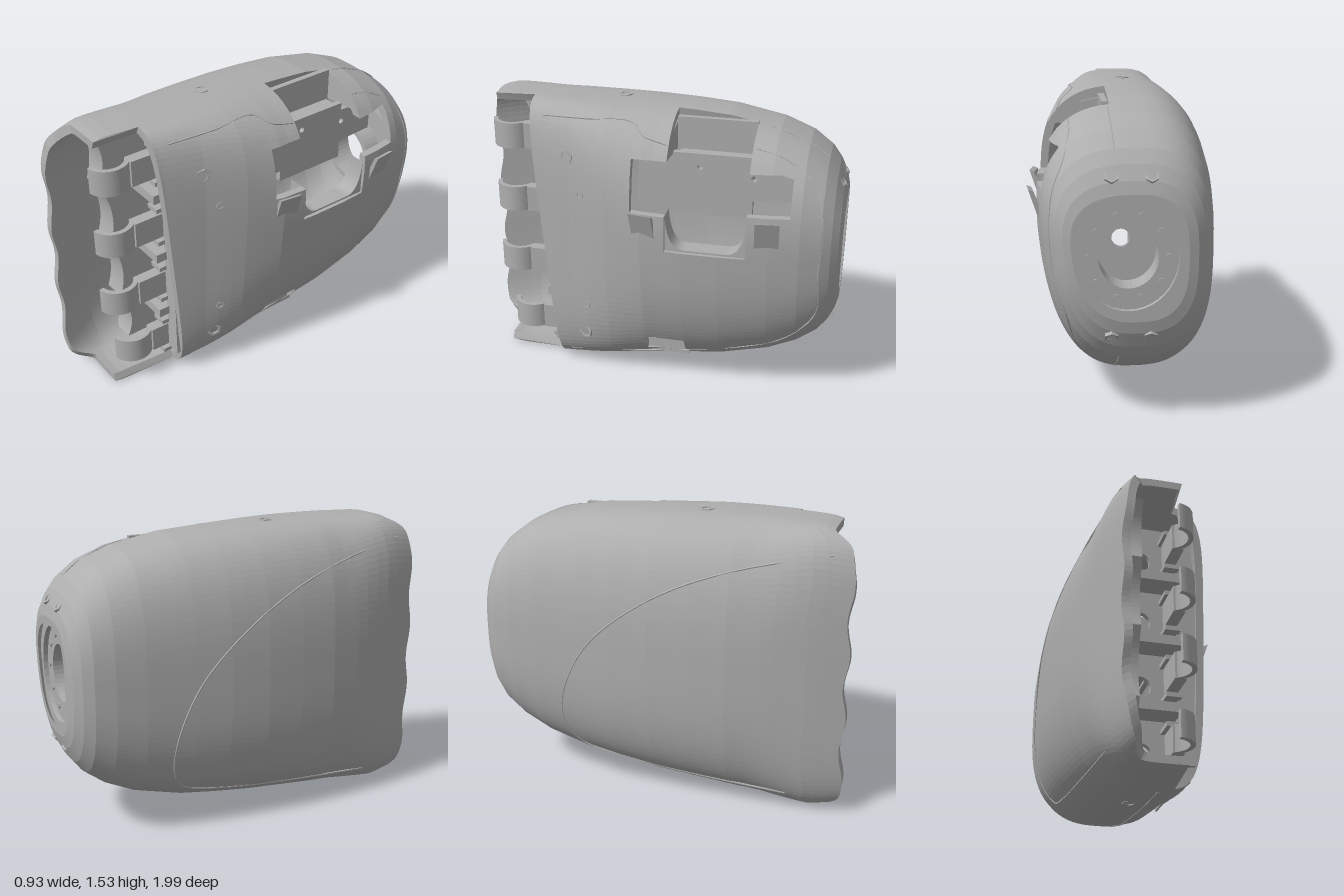
import * as THREE from 'three';

const grey = new THREE.MeshStandardMaterial({ color: 0xaeaeae, flatShading: true, side: THREE.DoubleSide });
grey.name = 'grey plastic';

// cross-sections of the palm: z, left edge x, right edge x, bottom y, top y
const CX = -0.03;
const SECTIONS = [
  [-1, -0.27, 0.27, 0.53, 1.12], [-0.985, -0.315, 0.305, 0.47, 1.18], [-0.95, -0.355, 0.34, 0.395, 1.25],
  [-0.9, -0.385, 0.37, 0.33, 1.315], [-0.8, -0.41, 0.4, 0.255, 1.39], [-0.65, -0.43, 0.42, 0.185, 1.45],
  [-0.4, -0.45, 0.435, 0.12, 1.5], [-0.2, -0.463, 0.435, 0.093, 1.516], [0, -0.463, 0.42, 0.07, 1.526],
  [0.2, -0.45, 0.365, 0.052, 1.532], [0.4, -0.43, 0.29, 0.033, 1.536], [0.6, -0.39, 0.235, 0.015, 1.538],
  [0.8, -0.335, 0.2, 0.005, 1.535], [1, -0.265, 0.18, 0.04, 1.49],
];
function section(z) {
  let k = 0;
  while (k < SECTIONS.length - 2 && z > SECTIONS[k + 1][0]) k++;
  const a = SECTIONS[k], b = SECTIONS[k + 1];
  const t = THREE.MathUtils.clamp((z - a[0]) / (b[0] - a[0]), 0, 1);
  return a.map((v, i) => v + (b[i] - v) * t);
}

// point on the palm surface, by angle or by a fixed height on one side
function surface(z, phi, inset = 0, atY = null) {
  const [, l, r, yb, yt] = section(z);
  const cy = (yb + yt) / 2, h = (yt - yb) / 2 - inset;
  const c = Math.cos(phi), s = Math.sin(phi), right = c > 0;
  const front = THREE.MathUtils.smoothstep(z, -0.1, 0.6);
  const n = right ? 2.6 + 2.2 * front : 2.8 + 1.6 * THREE.MathUtils.smoothstep(z, 0.5, 0.95);
  const k = Math.pow(Math.abs(c) ** n + Math.abs(s) ** n, -1 / n);
  let u = s * k, v = Math.abs(c) * k;
  if (atY !== null) {
    u = THREE.MathUtils.clamp((atY - cy) / h, -1, 1);
    v = Math.pow(1 - Math.abs(u) ** n, 1 / n);
  }
  // the thumb side is fuller towards the top
  const bulge = 0.955 + 0.03 * front + (0.15 - 0.08 * front) * u;
  const w = right ? (r - CX - inset) * bulge : l - CX + inset;
  return new THREE.Vector3(CX + w * v, cy + h * u, z);
}
const onSide = (y, z, side = 1) => surface(z, side > 0 ? 0 : Math.PI, 0, y);

// front edge: long scalloped back of the hand, shorter slanted palm panel
function frontEdge(phi) {
  const p = surface(0.75, phi);
  if (p.x > 0.07) return 0.51 + 0.08 * p.y;
  const t = THREE.MathUtils.smoothstep(-p.x, 0.17, 0.28);
  return 0.86 + t * (0.117 + 0.012 * Math.cos((p.y - 0.93) * Math.PI * 2 / 0.365));
}

// openings in the palm side: z range and y range
const CUTS = [[-0.54, -0.13, 0.87, 2], [-0.13, 0.05, 1.06, 1.33], [-0.75, -0.54, 1.1, 1.3], [-0.21, 0, 0.18, 0.28]];

function shellGeometry() {
  const N = 150, zs = [-1, -0.985, -0.97, -0.95, -0.925, -0.9, -0.85, -0.8, -0.75, -0.7, -0.65, -0.6, -0.54,
    -0.47, -0.4, -0.33, -0.27, -0.21, -0.13, -0.06, 0, 0.05, 0.12, 0.2, 0.27, 0.33, 0.4, 0.45, 0.5,
    0.57, 0.64, 0.72, 0.8, 0.87, 0.94, 1];
  const angle = i => (i / N) * Math.PI * 2;
  // grid lines moved onto the horizontal edges of the openings
  const snaps = [];
  for (const [z1, z2, y1, y2] of CUTS) for (const y of [y1, y2]) {
    let best = 0;
    const miss = i => Math.abs(surface((z1 + z2) / 2, angle(i)).y - y);
    for (let i = 0; i < N; i++) if (Math.cos(angle(i)) > 0 && miss(i) < miss(best)) best = i;
    if (y < 2) snaps.push({ i: best, z1, z2, y });
  }
  const grid = [0, 0.04].map(inset => zs.map(z0 => {
    const row = [];
    for (let i = 0; i < N; i++) {
      const z = z0 > 0.5 ? 0.5 + (z0 - 0.5) * 2 * (frontEdge(angle(i)) - 0.5) : z0;
      const snap = snaps.find(s => s.i === i && z >= s.z1 && z <= s.z2);
      row.push(surface(z, angle(i), inset, snap ? snap.y : null));
    }
    return row;
  }));
  const open = (i, j) => {
    if (j < 0 || j >= zs.length - 1) return true;
    const a = grid[0][j][i], b = grid[0][j + 1][(i + 1) % N];
    const x = (a.x + b.x) / 2, y = (a.y + b.y) / 2, z = (a.z + b.z) / 2;
    return x > 0.07 && CUTS.some(([z1, z2, y1, y2]) => z > z1 && z < z2 && y > y1 && y < y2);
  };
  const pos = [];
  const quad = (a, b, c, d) => [a, b, c, a, c, d].forEach(p => pos.push(p.x, p.y, p.z));
  for (let j = 0; j < zs.length - 1; j++) for (let i = 0; i < N; i++) {
    if (open(i, j)) continue;
    const e = (i + 1) % N;
    const [[a, b, c, d], [a2, b2, c2, d2]] = grid.map(g => [g[j][i], g[j][e], g[j + 1][e], g[j + 1][i]]);
    quad(a, b, c, d);
    quad(a2, d2, c2, b2);
    // rims where the wall is cut
    if (open(i, j - 1)) quad(a, a2, b2, b);
    if (open(i, j + 1)) quad(c, c2, d2, d);
    if (open((i + N - 1) % N, j)) quad(d, d2, a2, a);
    if (open(e, j)) quad(b, b2, c2, c);
  }
  const g = new THREE.BufferGeometry();
  g.setAttribute('position', new THREE.Float32BufferAttribute(pos, 3));
  g.computeVertexNormals();
  return g;
}

export function createModel() {
  const root = new THREE.Group();
  const add = (name, geo, x = 0, y = 0, z = 0) => {
    const m = new THREE.Mesh(geo, grey);
    m.name = name;
    m.position.set(x, y, z);
    root.add(m);
    return m;
  };
  const box = (name, x1, x2, y1, y2, z1, z2) => add(name,
    new THREE.BoxGeometry(x2 - x1, y2 - y1, z2 - z1), (x1 + x2) / 2, (y1 + y2) / 2, (z1 + z2) / 2);
  const shape = pts => new THREE.Shape(pts.map(p => new THREE.Vector2(...p)));
  const extrude = (s, depth) => new THREE.ExtrudeGeometry(s, { depth, bevelEnabled: false, curveSegments: 14 });

  add('palmShell', shellGeometry());

  // wrist coupling: recessed ring with a bore and a circle of bolts
  const ring = new THREE.LatheGeometry([[0.3, 0.06], [0.3, 0], [0.25, 0], [0.25, 0.025], [0.15, 0.025],
    [0.15, 0.16], [0.18, 0.16], [0.18, 0.06], [0.3, 0.06]].map(p => new THREE.Vector2(...p)), 40);
  ring.rotateX(Math.PI / 2).scale(0.92, 1, 1);
  add('wristRing', ring, 0, 0.825, -0.975);
  for (let i = 0; i < 10; i++) {
    const a = (i / 10) * Math.PI * 2;
    add('wristBolt', new THREE.CylinderGeometry(0.016, 0.016, 0.012, 8).rotateX(Math.PI / 2),
      0.185 * Math.cos(a), 0.825 + 0.2 * Math.sin(a), -0.952);
  }

  // hexagonal screw sockets set in the surface
  const socket = (name, p, dir, r) => {
    const pts = [[0, -0.015], [r * 0.65, -0.015], [r * 0.65, 0.004], [r, 0.004], [r, -0.02]];
    const m = add(name, new THREE.LatheGeometry(pts.map(q => new THREE.Vector2(...q)), r > 0.03 ? 6 : 10), p.x, p.y, p.z);
    m.quaternion.setFromUnitVectors(new THREE.Vector3(0, 1, 0), new THREE.Vector3(...dir).normalize());
  };
  for (const [y, z, r] of [[1.28, 0.41, 0.04], [1.095, 0.335, 0.022], [0.44, 0.325, 0.022], [0.255, 0.345, 0.04]])
    socket('palmScrew', onSide(y, z), [1, 0, 0.35], r);
  for (const s of [1, -1]) {
    socket('edgeScrew', surface(0.18, s * Math.PI / 2 + s * 0.04), [0, s, 0], 0.04);
    for (const x of [-0.1, 0.08])
      socket('wristScrew', new THREE.Vector3(x, 0.825 + s * 0.375, -0.972), [0, s * 0.9, -1], 0.035);
  }

  // inner bulkhead with a cable opening for each finger
  const wall = new THREE.Shape();
  for (let i = 0; i < 40; i++) {
    const p = surface(0.45, (i / 40) * Math.PI * 2, 0.02);
    i ? wall.lineTo(p.x, p.y) : wall.moveTo(p.x, p.y);
  }
  const FINGERS = [1.31, 0.95, 0.585, 0.23];
  for (const y of FINGERS) wall.holes.push(new THREE.Path().absarc(-0.06, y - 0.02, 0.055, 0, Math.PI * 2, true));
  add('bulkhead', extrude(wall, 0.03), 0, 0, 0.43);

  // slanted block along the back of the sockets, hollowed behind each finger
  const block = new THREE.Shape();
  block.moveTo(-0.46, 0.11);
  block.lineTo(-0.46, 1.45);
  const blockEdge = y => -0.65 - 0.09 * y;
  FINGERS.forEach(y => {
    const y1 = Math.min(y + 0.18, 1.45), y2 = Math.max(y - 0.18, 0.11);
    block.lineTo(blockEdge(y1), y1);
    block.quadraticCurveTo(blockEdge(y) + 0.08, y, blockEdge(y2), y2);
  });
  add('fingerBlock', extrude(block, 0.13).rotateY(Math.PI / 2), -0.25, 0, 0);

  // finger sockets: dividers, front rail and curved hinge hooks
  for (const y of [1.13, 0.77, 0.41]) box('socketDivider', -0.12, 0.13, y - 0.025, y + 0.025, 0.45, 0.6);
  box('frontRail', 0.11, 0.19, 0.14, 1.43, 0.46, 0.54);
  const hook = new THREE.Shape();
  hook.absarc(0.02, 0, 0.11, -1.1, 1.45, false);
  hook.absarc(0.02, 0, 0.085, 1.45, -1.1, true);
  FINGERS.forEach((y, i) => {
    const z = i === 3 ? 0.72 : 0.78;
    add('hingeHook', extrude(hook, 0.14).rotateX(Math.PI / 2), 0, y + 0.07, z);
    box('hookRoot', 0.05, 0.11, y - 0.07, y + 0.07, 0.5, z - 0.08);
    for (const s of [-1, 1]) box('hookRib', 0.04, 0.12, y + s * 0.1 - 0.012, y + s * 0.1 + 0.012, 0.46, 0.58);
  });

  // thumb mount: stepped plate on a block inside the opening, and pocket walls
  const plate = shape([[-0.05, 1.06], [-0.05, 1.33], [0.54, 1.33], [0.54, 1.29], [0.75, 1.28], [0.75, 1.11],
    [0.54, 1.1], [0.54, 1.0], [0.13, 1.0], [0.13, 1.06]]);
  for (const [x, y] of [[0.27, 1.26], [0.545, 1.22]])
    plate.holes.push(new THREE.Path().absarc(x, y, 0.015, 0, Math.PI * 2, true));
  add('thumbPlate', extrude(plate, 0.03).rotateY(Math.PI / 2), 0.18, 0, 0);
  box('thumbBlock', 0.08, 0.18, 1.02, 1.31, -0.53, -0.15);
  box('pocketBackWall', 0.07, 0.1, 1.3, 1.48, -0.54, -0.13);
  for (const z of [-0.56, -0.13]) {
    const w = shape([[0.08, 1.31], [onSide(1.33, z).x - 0.02, 1.33], [onSide(1.42, z).x - 0.02, 1.42], [0.08, 1.46]]);
    add('pocketWall', extrude(w, 0.02), 0, 0, z);
  }

  // rounded sill under the thumb opening with a flared lip on each side
  const sill = new THREE.Shape();
  sill.moveTo(0.13, 1.06);
  sill.lineTo(0.13, 0.86);
  sill.lineTo(0.54, 0.86);
  sill.lineTo(0.54, 1.06);
  sill.quadraticCurveTo(0.53, 0.88, 0.44, 0.88);
  sill.lineTo(0.23, 0.88);
  sill.quadraticCurveTo(0.14, 0.88, 0.13, 1.06);
  add('openingSill', extrude(sill, 0.1).rotateY(Math.PI / 2), 0.3, 0, 0);
  const lip = shape([[0.395, 0.86], [0.465, 1.07], [0.44, 1.06], [0.38, 0.9]]);
  add('frontLip', extrude(lip, 0.12), 0, 0, -0.14).rotation.y = -0.15;
  add('rearLip', extrude(lip, 0.12), -0.01, 0.02, -0.66).rotation.y = 0.1;

  // floor behind the small window
  box('windowFloor', 0.2, 0.21, 0.16, 0.3, -0.23, 0.02);

  // raised seams between the back cover, the palm panel and the body
  const seam = (name, pts) => add(name, new THREE.TubeGeometry(new THREE.CatmullRomCurve3(pts), 60, 0.005, 5));
  for (const s of [1, -1]) {
    const pts = [];
    for (let z = -0.9; z < (s > 0 ? -0.55 : 0.5); z += 0.08) pts.push(surface(z, s * 1.36));
    seam('edgeSeam', pts);
  }
  seam('backSeam', [[1.42, 0.88], [1.33, 0.45], [1.2, 0.1], [1, -0.2], [0.8, -0.38], [0.55, -0.49], [0.35, -0.5],
    [0.23, -0.42], [0.18, -0.2], [0.14, 0.2], [0.11, 0.7]].map(([y, z]) => onSide(y, z, -1)));
  seam('panelTopSeam', [[1.47, 0.55], [1.48, 0.3], [1.48, 0.08], [1.43, 0], [1.4, -0.12]].map(([y, z]) => onSide(y, z)));
  seam('panelSeam', [[1.4, -0.56], [1.36, -0.7], [1.25, -0.85], [1.1, -0.9], [0.8, -0.9], [0.55, -0.9], [0.42, -0.82],
    [0.32, -0.7], [0.25, -0.5], [0.18, -0.2], [0.13, 0.1], [0.09, 0.45]].map(([y, z]) => onSide(y, z)));
  return root;
}
